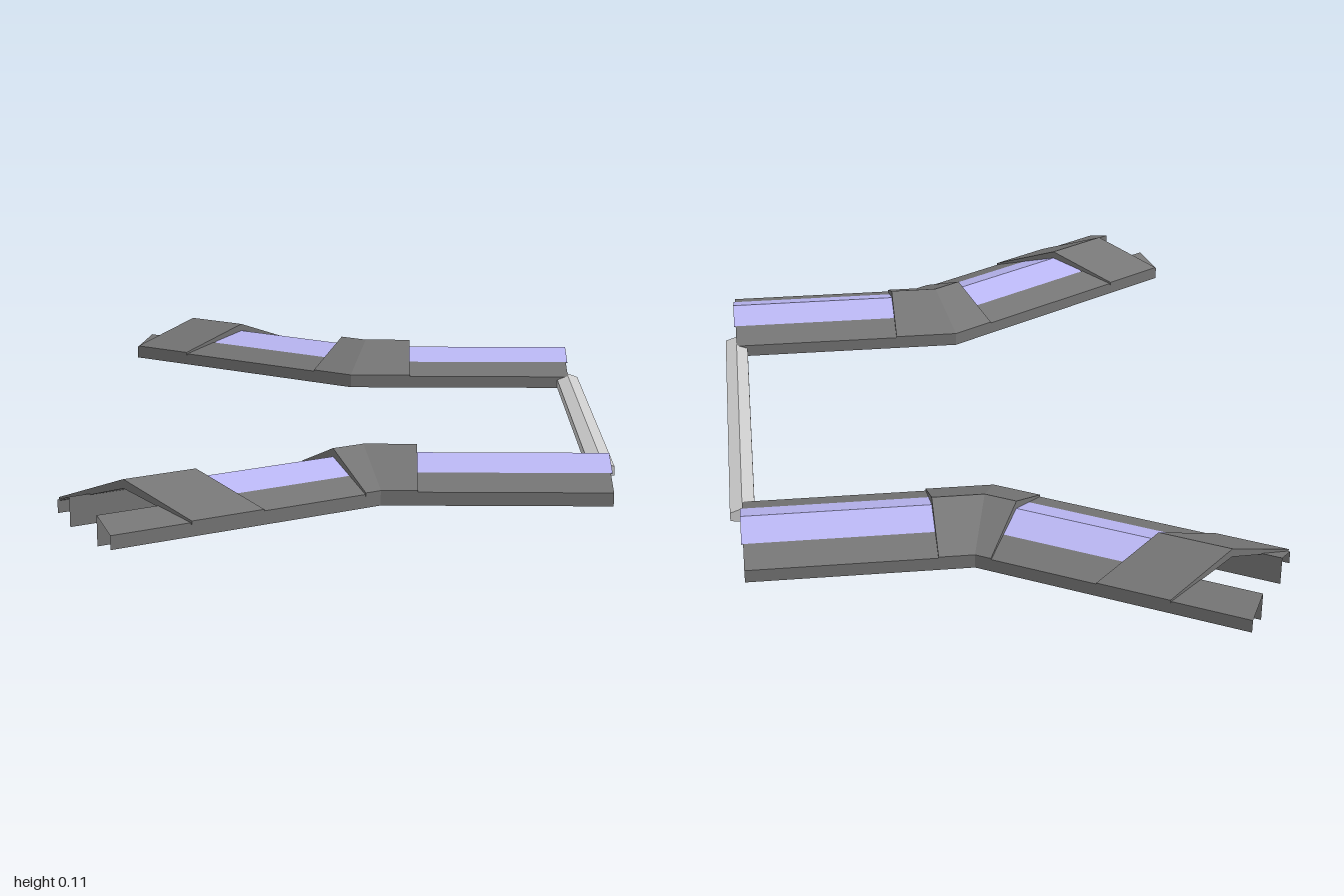
import * as THREE from 'three';

const dark = new THREE.MeshStandardMaterial({ color: 0x747474, side: THREE.DoubleSide });
const glass = new THREE.MeshStandardMaterial({ color: 0xb9b6f2, side: THREE.DoubleSide });
const grey = new THREE.MeshStandardMaterial({ color: 0xcccccc, side: THREE.DoubleSide });

const PIVOT_X = 0.038, PIVOT_Z = 0.536, BEND = Math.PI / 6;
const HALF = 0.143, INNER = 0.074;

// Skin a row of cross-sections with flat facets; closed sections get end caps.
function loft(name, sections, material, closed, flip = false) {
  const pos = [];
  const quad = (a, b, c, d) => {
    const q = flip ? [a, d, c, b] : [a, b, c, d];
    for (const k of [0, 1, 2, 0, 2, 3]) pos.push(...q[k]);
  };
  const n = sections[0].length;
  for (let i = 0; i + 1 < sections.length; i++) {
    const s = sections[i], t = sections[i + 1];
    for (let j = 0; j < (closed ? n : n - 1); j++) {
      const k = (j + 1) % n;
      quad(s[j], t[j], t[k], s[k]);
    }
  }
  if (closed) {
    const s = sections[0], t = sections[sections.length - 1];
    for (let j = 0; j < n / 2 - 1; j++) {
      quad(s[j], s[j + 1], s[n - 2 - j], s[n - 1 - j]);
      quad(t[n - 1 - j], t[n - 2 - j], t[j + 1], t[j]);
    }
  }
  const geometry = new THREE.BufferGeometry();
  geometry.setAttribute('position', new THREE.Float32BufferAttribute(pos, 3));
  geometry.computeVertexNormals();
  const mesh = new THREE.Mesh(geometry, material);
  mesh.name = name;
  return mesh;
}

// Stations: place a profile point (offset d, height y) on the bent centre line.
const straight = x => (d, y) => [x, y, PIVOT_Z + d];
const mitre = (d, y) => [PIVOT_X + d * Math.tan(BEND / 2), y, PIVOT_Z + d];
const angled = (along, skew = 0) => (d, y) => {
  const a = along - skew * d;
  return [
    PIVOT_X - a * Math.cos(BEND) + d * Math.sin(BEND), y,
    PIVOT_Z + a * Math.sin(BEND) + d * Math.cos(BEND)];
};

// Chevron cross-section of a gabled shell
const gable = (half, eave, ridge, thick) => [
  [-half, eave], [0, ridge], [half, eave],
  [half, eave - thick * 0.4], [0, ridge - thick], [-half, eave - thick * 0.4]];

function corridor(side, name) {
  const group = new THREE.Group();
  group.name = name;
  const add = (part, profile, stations, material, closed) => {
    const sections = stations.map(at => profile.map(([d, y]) => {
      const [x, py, z] = at(d, y);
      return [x, py, side * z - 0.004];
    }));
    group.add(loft(part, sections, material, closed, side < 0));
  };

  // Folded side channels, open underneath
  const channel = [[INNER, 0], [INNER, 0.066], [HALF, 0.042], [HALF, 0.012]];
  const run = [straight(0.574), mitre, angled(0.661)];
  add('outerChannel', channel, run, dark, false);
  add('innerChannel', channel.map(([d, y]) => [-d, y]).reverse(), run, dark, false);

  // Tinted ridge roofs
  const roof = gable(INNER, 0.066, 0.091, 0.004);
  add('straightRoof', roof, [straight(0.578), straight(0.14)], glass, true);
  add('angledRoof', roof, [angled(0.06), angled(0.445)], glass, true);

  // Raised elbow cover over the bend and skewed cover near the open end
  const cover = gable(HALF + 0.002, 0.046, 0.11, 0.02);
  add('elbowCover', cover, [straight(0.156), mitre, angled(0.076)], dark, true);
  add('endCover', cover, [angled(0.405, 0.6), angled(0.57, 0.6)], dark, true);
  return group;
}

export function createModel() {
  const model = new THREE.Group();
  model.name = 'corridors';
  model.add(corridor(1, 'frontCorridor'), corridor(-1, 'backCorridor'));

  // Faceted beam joining both corridors
  const beam = [
    [0.602, 0.034], [0.574, 0.044], [0.546, 0.034],
    [0.546, 0.013], [0.574, 0.01], [0.602, 0.013]];
  model.add(loft('crossBeam',
    [0.44, -0.43].map(z => beam.map(([x, y]) => [x, y, z])), grey, true));
  return model;
}
